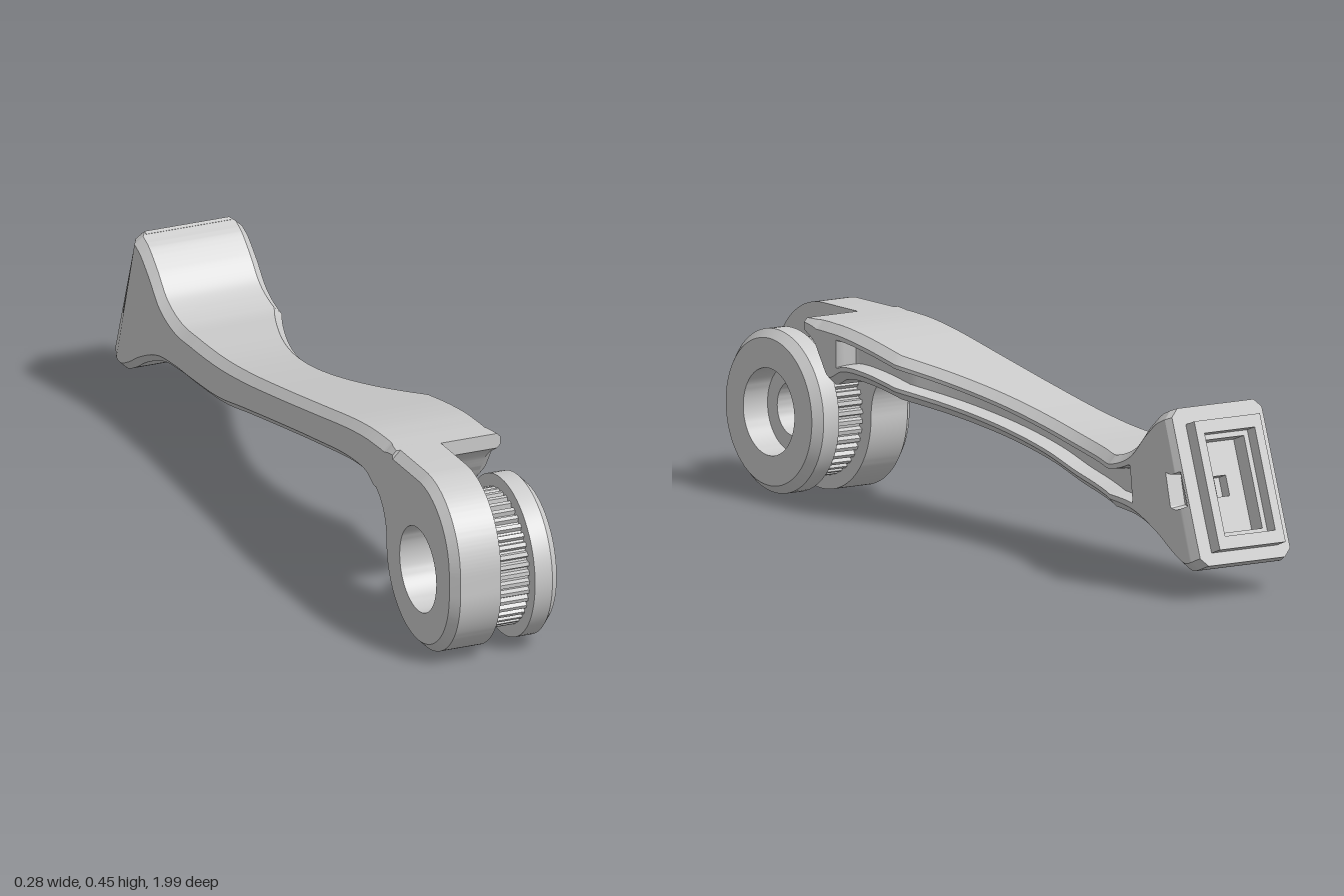
import * as THREE from 'three';
import { toCreasedNormals } from 'three/addons/utils/BufferGeometryUtils.js';

const material = new THREE.MeshStandardMaterial({ color: 0xcccccc });
const HUB = { y: 0.2, z: 0.8 };

function part(name, geometry, crease = 0.5) {
  const mesh = new THREE.Mesh(toCreasedNormals(geometry, crease), material);
  mesh.name = name;
  return mesh;
}

// Arm stations, front to back: top z, y and bottom z, y
const STATIONS = [
  [0.655, 0.447, 0.655, 0.41], [0.62, 0.447, 0.62, 0.385], [0.585, 0.447, 0.585, 0.335],
  [0.555, 0.446, 0.555, 0.3], [0.5, 0.443, 0.5, 0.32], [0.4, 0.43, 0.4, 0.32],
  [0.2, 0.393, 0.2, 0.29], [0, 0.356, 0, 0.255], [-0.2, 0.322, -0.2, 0.218],
  [-0.35, 0.304, -0.35, 0.19], [-0.5, 0.298, -0.5, 0.18], [-0.6, 0.3, -0.6, 0.177],
  [-0.68, 0.328, -0.7, 0.165], [-0.74, 0.385, -0.8, 0.125], [-0.79, 0.425, -0.87, 0.085],
  [-0.812, 0.435, -0.918, 0.068], [-0.835, 0.445, -0.965, 0.085],
];

// Flat width on the +x side, hollowed by a shallow scoop
function sideX(z) {
  const t = (z + 0.16) / 0.44;
  return Math.abs(t) < 1 ? 0.045 + 0.095 * t * t : 0.14;
}

// Depth of the long pocket and of the small notch in the head
function pocketDepth(z) {
  if (z < -0.844 && z > -0.894) return 0.04;
  return 0.045 * THREE.MathUtils.smoothstep(z, -0.69, -0.665) *
    (1 - THREE.MathUtils.smoothstep(z, 0.495, 0.525));
}

function armGeometry() {
  const top = new THREE.CatmullRomCurve3(STATIONS.map(s => new THREE.Vector3(0, s[1], s[0])));
  const bottom = new THREE.CatmullRomCurve3(STATIONS.map(s => new THREE.Vector3(0, s[3], s[2])));
  const segments = (STATIONS.length - 1) * 10, N = 12;
  const positions = [], index = [];
  for (let i = 0; i <= segments; i++) {
    const T = top.getPoint(i / segments), B = bottom.getPoint(i / segments);
    const h = T.distanceTo(B), mid = (T.z + B.z) / 2;
    const c = Math.min(0.02, h * 0.25);
    const rim = c + (mid < -0.75 ? (h - 2 * c - 0.085) / 2 : h * 0.09);
    const inset = 0.01 * Math.max(0, (i - segments + 6) / 6);
    const l = -0.14 + inset, r = sideX(mid) - inset, d = pocketDepth(mid);
    const section = [
      [l + c, 0], [r - c, 0], [r, c], [r, rim], [r - d, rim + 0.004], [r - d, h - rim - 0.004],
      [r, h - rim], [r, h - c], [r - c, h], [l + c, h], [l, h - c], [l, c],
    ];
    for (const [x, v] of section) {
      const p = B.clone().lerp(T, v / h);
      positions.push(x, p.y, p.z);
    }
  }
  for (let i = 0; i < segments; i++) {
    for (let j = 0; j < N; j++) {
      const a = i * N + j, b = i * N + (j + 1) % N;
      index.push(a, a + N, b, b, a + N, b + N);
    }
  }
  for (let j = 1; j < N - 1; j++) index.push(0, j, j + 1);
  const g = new THREE.BufferGeometry();
  g.setAttribute('position', new THREE.Float32BufferAttribute(positions, 3));
  g.setIndex(index);
  g.computeVertexNormals();
  return g;
}

function circlePath(r, z = 0, y = 0) {
  return new THREE.Path().absarc(z, y, r, 0, Math.PI * 2, true);
}

// Side plate drawn in (z, y), bevelled on its outer face only
function plateGeometry() {
  const s = new THREE.Shape();
  s.moveTo(0.5, 0.32);
  s.quadraticCurveTo(0.6, 0.3, 0.6, HUB.y);
  s.absarc(HUB.z, HUB.y, 0.2, Math.PI, Math.PI * 2, false);
  s.absarc(HUB.z, 0.247, 0.2, 0, Math.PI / 2, false);
  s.lineTo(0.6, 0.447);
  s.lineTo(0.5, 0.443);
  s.holes.push(circlePath(0.13, HUB.z, HUB.y));
  const g = new THREE.ExtrudeGeometry(s, {
    depth: 0.105, bevelThickness: 0.02, bevelSize: 0.02, bevelOffset: -0.02,
    bevelSegments: 1, curveSegments: 32,
  });
  g.rotateY(-Math.PI / 2).translate(-0.015, 0, 0);
  const p = g.attributes.position;
  for (let i = 0; i < p.count; i++) p.setX(i, Math.min(p.getX(i), -0.015));
  return g;
}

// Toothed drum
function gearGeometry() {
  const s = new THREE.Shape(), teeth = 44;
  for (let i = 0; i < teeth; i++) {
    [[0, 0.155], [0.25, 0.155], [0.42, 0.166], [0.83, 0.166]].forEach(([f, r], k) => {
      const a = (i + f) / teeth * Math.PI * 2;
      s[i + k ? 'lineTo' : 'moveTo'](r * Math.cos(a), r * Math.sin(a));
    });
  }
  s.closePath();
  s.holes.push(circlePath(0.12));
  return new THREE.ExtrudeGeometry(s, { depth: 0.09, bevelEnabled: false })
    .rotateY(-Math.PI / 2).translate(0.075, HUB.y, HUB.z);
}

// Stepped bore, hub and outer flange in one turned profile: radius, x
function hubGeometry() {
  const profile = [
    [0.105, -0.14], [0.16, -0.14], [0.16, -0.015], [0.15, -0.015], [0.15, 0.075],
    [0.197, 0.075], [0.197, 0.12], [0.177, 0.14], [0.105, 0.14], [0.105, 0.07],
    [0.065, 0.07], [0.065, -0.03], [0.105, -0.03], [0.105, -0.14],
  ].map(p => new THREE.Vector2(...p));
  return new THREE.LatheGeometry(profile, 64).rotateZ(-Math.PI / 2).translate(0, HUB.y, HUB.z);
}

// Rectangle with cut corners
function rect(path, w, h, c = 0) {
  const x = w / 2, y = h / 2;
  const pts = [[x - c, -y], [x, c - y], [x, y - c], [x - c, y], [c - x, y], [-x, y - c], [-x, c - y], [c - x, -y]];
  path.setFromPoints((c ? pts : pts.filter((_, i) => i % 2)).map(p => new THREE.Vector2(...p)));
  return path;
}

function frame(name, size, hole, from, to) {
  const s = rect(new THREE.Shape(), ...size);
  s.holes.push(rect(new THREE.Path(), ...hole));
  const g = new THREE.ExtrudeGeometry(s, { depth: to - from, bevelEnabled: false });
  return part(name, g.translate(0, 0, from));
}

export function createModel() {
  const model = new THREE.Group();
  model.name = 'leverArm';
  model.add(
    part('arm', armGeometry()),
    part('sidePlate', plateGeometry()),
    part('gear', gearGeometry(), 0.3),
    part('hubAndFlange', hubGeometry()),
  );

  // Tilted socket on the rear face
  const socket = new THREE.Group();
  socket.name = 'rearSocket';
  socket.position.set(0, 0.265, -0.9);
  socket.rotation.set(0.347, Math.PI, 0);
  const back = part('socketBack', new THREE.BoxGeometry(0.15, 0.26, 0.01));
  back.position.z = -0.075;
  const plug = frame('socketRim', [0.19, 0.312], [0.145, 0.25], -0.04, 0.038);
  const ledge = frame('socketLedge', [0.16, 0.27], [0.12, 0.225], -0.04, 0.005);
  plug.position.y = ledge.position.y = -0.005;
  socket.add(
    frame('rearFace', [0.26, 0.383, 0.02], [0.15, 0.26], -0.01, 0.001),
    plug, ledge,
    frame('socketFloor', [0.17, 0.28], [0.035, 0.05], -0.07, -0.04),
    back,
  );
  model.add(socket);
  return model;
}
